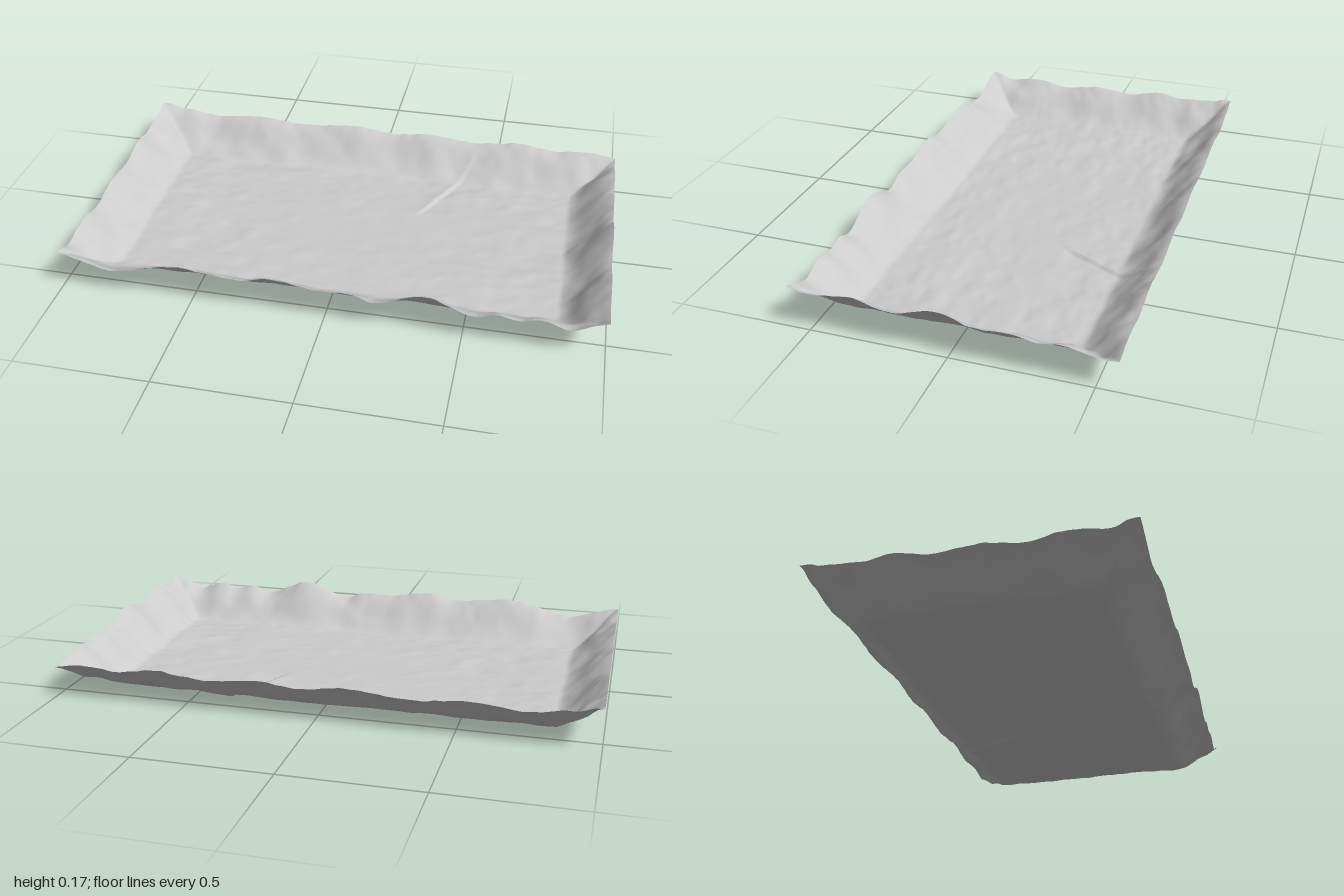
import * as THREE from 'three';

const W = 1, D = 0.575, INSET = 0.17;

// smooth value noise on a seeded lattice, range -1..1
function hash(i, j) {
  const s = Math.sin(i * 127.1 + j * 311.7) * 43758.5453;
  return (s - Math.floor(s)) * 2 - 1;
}
const ease = t => t * t * (3 - 2 * t);
function noise(x, y) {
  const i = Math.floor(x), j = Math.floor(y);
  const u = ease(x - i), v = ease(y - j), mix = THREE.MathUtils.lerp;
  return mix(mix(hash(i, j), hash(i + 1, j), u), mix(hash(i, j + 1), hash(i + 1, j + 1), u), v);
}

// wavy rim heights as [position, height] points, eased between them
function rim(points) {
  return p => {
    let k = 0;
    while (k < points.length - 2 && p > points[k + 1][0]) k++;
    const [a, ha] = points[k], [b, hb] = points[k + 1];
    return ha + (hb - ha) * ease(THREE.MathUtils.clamp((p - a) / (b - a), 0, 1));
  };
}
const rims = {
  front: rim([[-1, 0.16], [-0.8, 0.112], [-0.55, 0.165], [-0.3, 0.145], [-0.2, 0.168], [0, 0.145], [0.1, 0.148],
    [0.18, 0.125], [0.36, 0.18], [0.55, 0.122], [0.62, 0.143], [0.7, 0.128], [0.77, 0.145], [0.87, 0.118], [1, 0.165]]),
  back: rim([[-1, 0.165], [-0.9, 0.148], [-0.75, 0.13], [-0.55, 0.145], [-0.35, 0.13], [-0.1, 0.148],
    [0.05, 0.13], [0.2, 0.145], [0.4, 0.128], [0.6, 0.147], [0.75, 0.128], [0.88, 0.14], [1, 0.125]]),
  right: rim([[-D, 0.125], [-0.52, 0.12], [-0.4, 0.145], [-0.32, 0.135], [-0.2, 0.148], [-0.1, 0.144],
    [0.04, 0.18], [0.19, 0.143], [0.34, 0.17], [0.5, 0.15], [D, 0.165]]),
  left: rim([[-D, 0.165], [-0.5, 0.154], [-0.35, 0.145], [-0.24, 0.157], [-0.1, 0.135], [0.05, 0.15],
    [0.2, 0.13], [0.35, 0.152], [0.47, 0.135], [D, 0.16]]),
};

// wall profile: 1 at the rim, 0 at the rounded foot
function wall(d) {
  const s = Math.max(0, 1 - d / INSET);
  return 0.5 * s + 0.5 * ease(s) - 0.1 * s * (1 - s);
}

function floorHeight(x, z) {
  let h = 0.015 + 0.006 * x * x + 0.004 * z;
  h += 0.003 * noise(x * 4 + 7, z * 5) + 0.0035 * noise(x * 10, z * 18 + 3);
  h += 0.0018 * noise(x * 22 + 5, z * 36);
  // smoother worn patch in the middle
  const worn = Math.exp(-(x * x * 4 + z * z * 14));
  h = THREE.MathUtils.lerp(h, 0.014, 0.6 * worn);
  // diagonal crack running in from the back edge
  const t = (z + 0.55) / 0.4;
  if (t > 0 && t < 1.05) {
    const off = x - (0.43 - 0.2 * t);
    h += 0.008 * Math.exp(-Math.abs(off) * 22) * (off < 0 ? 1 : -0.4) * Math.min(1, (1.05 - t) * 5);
  }
  return h;
}

function height(x, z) {
  const dx = W - Math.abs(x), dz = D - Math.abs(z);
  const f = wall(Math.min(dx, dz));
  const base = floorHeight(x, z);
  if (f <= 0) return base;
  // blend the two rims across each mitred corner
  const a = Math.pow(wall(dx), 5) + 1e-9, b = Math.pow(wall(dz), 5) + 1e-9;
  const side = (x > 0 ? rims.right : rims.left)(z), end = (z > 0 ? rims.front : rims.back)(x);
  const top = (side * a + end * b) / (a + b);
  // crumpled folds across the wall
  const fold = 0.012 * f * (1 - f) * 4 * noise(x * 12 + 3, z * 12 + 9) + 0.003 * f * noise(x * 30, z * 30);
  return base + (top - base) * f + fold;
}

export function createModel() {
  const group = new THREE.Group();
  group.name = 'crumpledTray';
  const grey = new THREE.MeshStandardMaterial({ color: 0xcccccc, side: THREE.DoubleSide });
  grey.name = 'light grey';

  // one thin sheet: uneven floor with four sloping walls
  const geo = new THREE.PlaneGeometry(W * 2, D * 2, 200, 116).rotateX(-Math.PI / 2);
  const p = geo.attributes.position;
  for (let i = 0; i < p.count; i++) p.setY(i, height(p.getX(i), p.getZ(i)));
  geo.computeBoundingBox();
  geo.translate(0, -geo.boundingBox.min.y, 0);
  geo.computeVertexNormals();

  const sheet = new THREE.Mesh(geo, grey);
  sheet.name = 'traySheet';
  group.add(sheet);
  return group;
}
